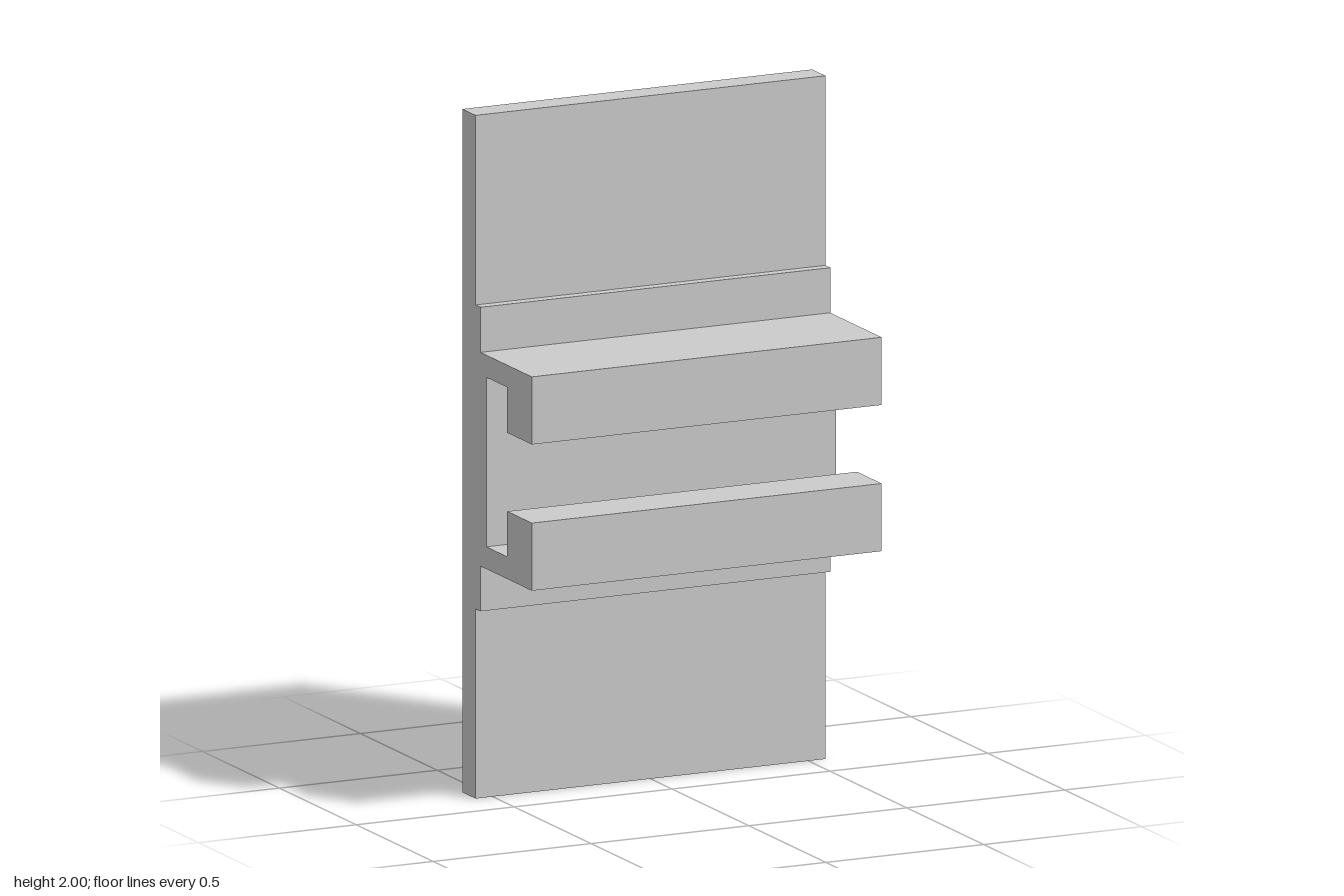
import * as THREE from 'three';

const WIDTH = 1.108;
const MID = 1; // height of the mirror line

export function createModel() {
  const group = new THREE.Group();
  group.name = 'railBracket';

  // Upper half of the side profile as [z, height above the mirror line]
  const upper = [
    [-0.226, 1], [-0.14, 1],          // plate top
    [-0.14, 0.445], [-0.108, 0.445],  // raised pad
    [-0.108, 0.313], [0.226, 0.313],  // arm
    [0.226, 0.115], [0.066, 0.115],   // hooked lip
    [0.066, 0.248], [-0.07, 0.248],   // slot
  ];
  const lower = upper.map(([z, h]) => [z, -h]).reverse();
  const profile = new THREE.Shape(
    [...upper, ...lower].map(([z, h]) => new THREE.Vector2(z, MID + h))
  );

  // Sweep the profile across the width, turning its first axis onto z
  const geometry = new THREE.ExtrudeGeometry(profile, { depth: WIDTH, bevelEnabled: false });
  geometry.translate(0, 0, -WIDTH / 2);
  geometry.rotateY(-Math.PI / 2);

  const bracket = new THREE.Mesh(
    geometry,
    new THREE.MeshStandardMaterial({ color: 0xcccccc, flatShading: true })
  );
  bracket.name = 'plateWithHookedRails';
  group.add(bracket);
  return group;
}
